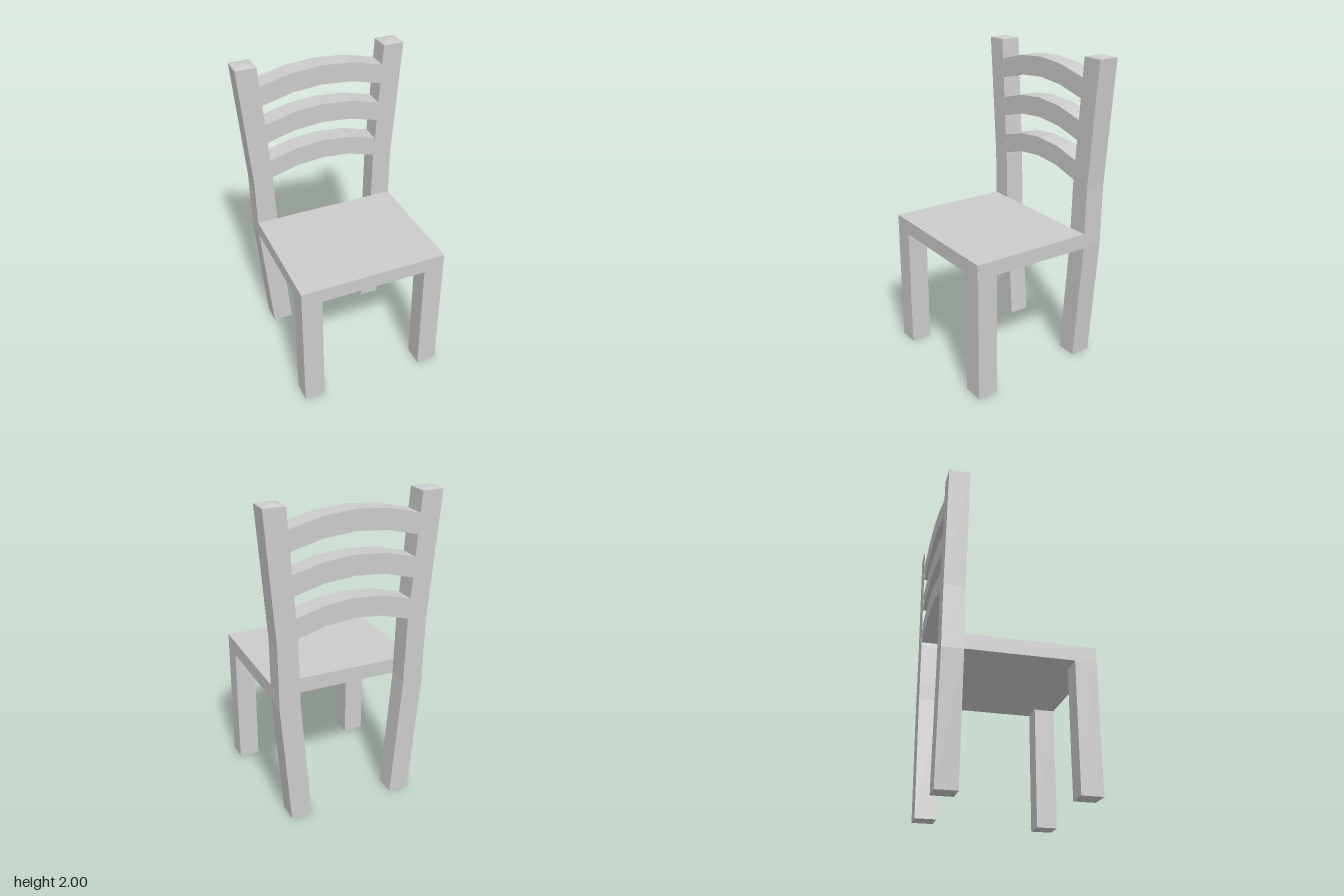
import * as THREE from 'three';

const material = new THREE.MeshStandardMaterial({ color: 0xcccccc, flatShading: true });
const FRONT = 0.463, INSET = 0.33; // outer and inner faces of the legs in z

function addMesh(group, name, geometry) {
  const mesh = new THREE.Mesh(geometry, material);
  mesh.name = name;
  group.add(mesh);
}

// Square bar through levels [y, innerX, outerX], closed by shallow four-sided caps
function bar(levels, side, z0, z1, bottomY, topY) {
  const rings = levels.map(([y, inner, outer]) => {
    const [a, b] = side > 0 ? [inner, outer] : [-outer, -inner];
    return [[a, y, z1], [b, y, z1], [b, y, z0], [a, y, z0]];
  });
  const centre = (ring, y) => [(ring[0][0] + ring[1][0]) / 2, y, (z0 + z1) / 2];
  const first = rings[0], last = rings[rings.length - 1];
  const points = [];
  for (let k = 0; k < 4; k++) {
    const n = (k + 1) % 4;
    for (let i = 0; i < rings.length - 1; i++) {
      const lo = rings[i], hi = rings[i + 1];
      points.push(lo[k], lo[n], hi[n], lo[k], hi[n], hi[k]);
    }
    points.push(last[k], last[n], centre(last, topY));
    points.push(first[n], first[k], centre(first, bottomY));
  }
  const geometry = new THREE.BufferGeometry();
  geometry.setAttribute('position', new THREE.Float32BufferAttribute(points.flat(), 3));
  geometry.computeVertexNormals();
  return geometry;
}

// Rear post levels: splayed inward at the foot, outward along the backrest
const postLevels = [
  [0, 0.28, 0.413], [0.8, 0.345, 0.478], [0.895, 0.346, 0.478],
  [1.2, 0.355, 0.483], [1.985, 0.412, 0.545],
];

// Inner post face at a given height
function innerX(y) {
  const [lo, hi] = postLevels.slice(-2);
  return THREE.MathUtils.mapLinear(y, lo[0], hi[0], lo[1], hi[1]);
}

// Arched slat in four straight segments, meeting the posts
function slat(endY) {
  const thickness = 0.125, rise = 0.067;
  const edge = (y) => [-1, -0.5, 0, 0.5, 1].map((t) =>
    new THREE.Vector2(t * (innerX(y) + 0.002), y + rise * (1 - t * t)));
  const outline = [...edge(endY), ...edge(endY + thickness).reverse()];
  const depth = FRONT - INSET - 0.002;
  return new THREE.ExtrudeGeometry(new THREE.Shape(outline), { depth, bevelEnabled: false })
    .translate(0, 0, -FRONT + 0.001);
}

export function createModel() {
  const chair = new THREE.Group();
  chair.name = 'chair';

  // Seat, ending at the front of the rear posts
  addMesh(chair, 'seat', new THREE.BoxGeometry(0.956, 0.095, FRONT + INSET)
    .translate(0, 0.8475, (FRONT - INSET) / 2));

  // Legs and posts
  for (const [side, label] of [[1, 'left'], [-1, 'right']]) {
    addMesh(chair, `${label}FrontLeg`,
      bar([[0, 0.345, 0.478], [0.8, 0.345, 0.478]], side, INSET, FRONT, 0.015, 0.8));
    addMesh(chair, `${label}BackPost`, bar(postLevels, side, -FRONT, -INSET, 0.015, 2));
  }

  // Backrest
  [1.22, 1.477, 1.735].forEach((y, i) => addMesh(chair, `backSlat${i + 1}`, slat(y)));

  return chair;
}
